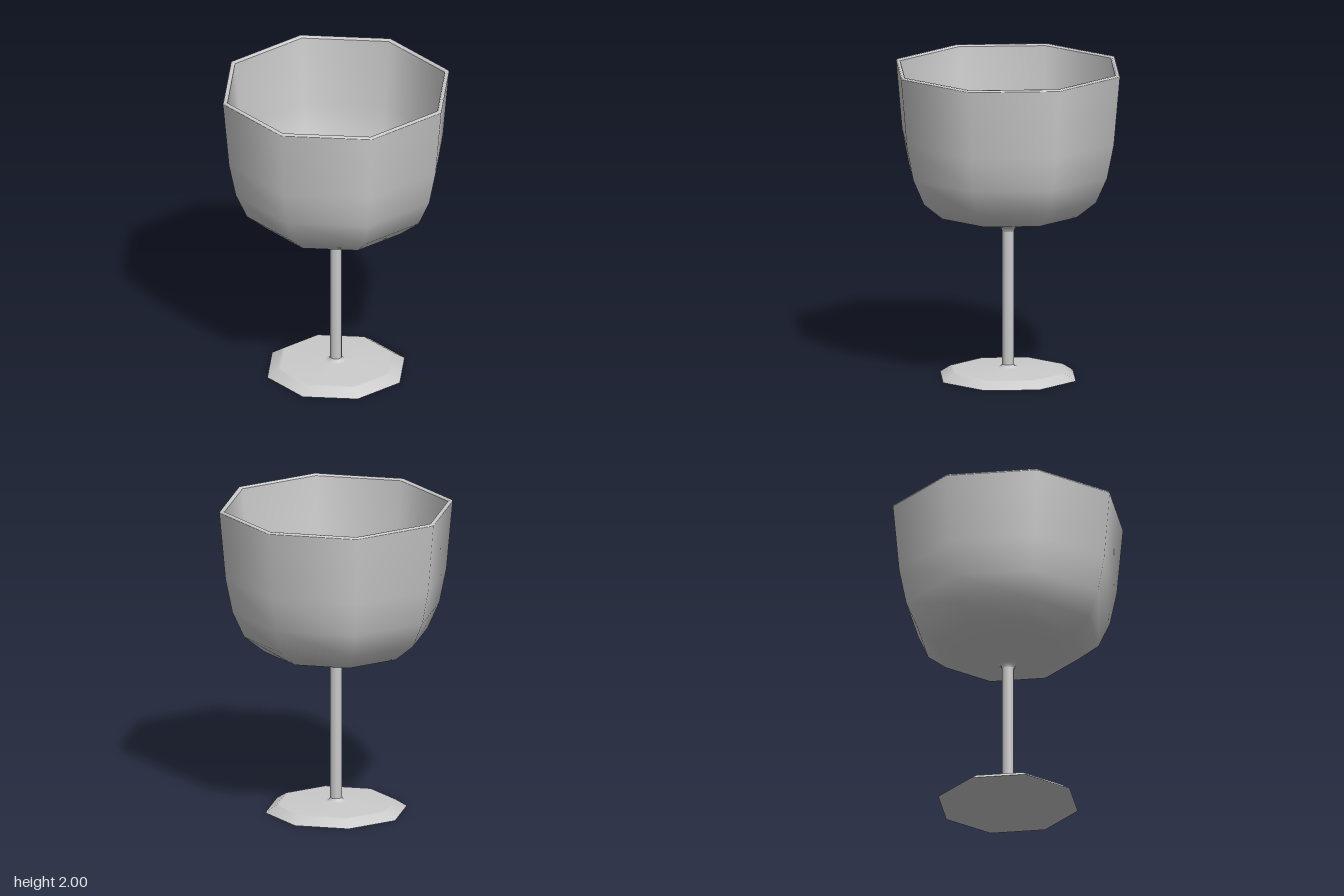
import * as THREE from 'three';

const SIDES = 8;
const material = new THREE.MeshStandardMaterial({ color: 0xcccccc });

// Turn a profile of [radius, height] pairs into an eight-sided surface
function turned(name, profile) {
  const points = profile.map(([r, y]) => new THREE.Vector2(r, y));
  const mesh = new THREE.Mesh(new THREE.LatheGeometry(points, SIDES), material);
  mesh.name = name;
  return mesh;
}

export function createModel() {
  const goblet = new THREE.Group();
  goblet.name = 'goblet';

  // Foot: flat underside and bevelled, slightly domed top
  const foot = new THREE.Group();
  foot.name = 'foot';
  foot.add(
    turned('footUnderside', [[0, 0], [0.455, 0]]),
    turned('footTop', [[0.455, 0], [0.385, 0.045], [0.365, 0.049], [0.07, 0.06], [0.05, 0.064], [0.04, 0.08]])
  );

  // Stem
  const stem = turned('stem', [[0.04, 0.08], [0.04, 0.94]]);

  // Bowl: outer wall, rounded rim and inner wall
  const bowl = new THREE.Group();
  bowl.name = 'bowl';
  bowl.add(
    turned('bowlOutside', [
      [0.04, 0.94], [0.048, 0.963], [0.07, 0.975], [0.46, 1.06], [0.59, 1.165],
      [0.665, 1.33], [0.71, 1.55], [0.75, 1.99],
    ]),
    turned('rim', [[0.75, 1.99], [0.745, 2], [0.727, 2], [0.72, 1.99]]),
    turned('bowlInside', [
      [0.72, 1.99], [0.68, 1.55], [0.637, 1.342], [0.567, 1.188], [0.45, 1.09], [0, 0.995],
    ])
  );

  goblet.add(foot, stem, bowl);
  return goblet;
}
